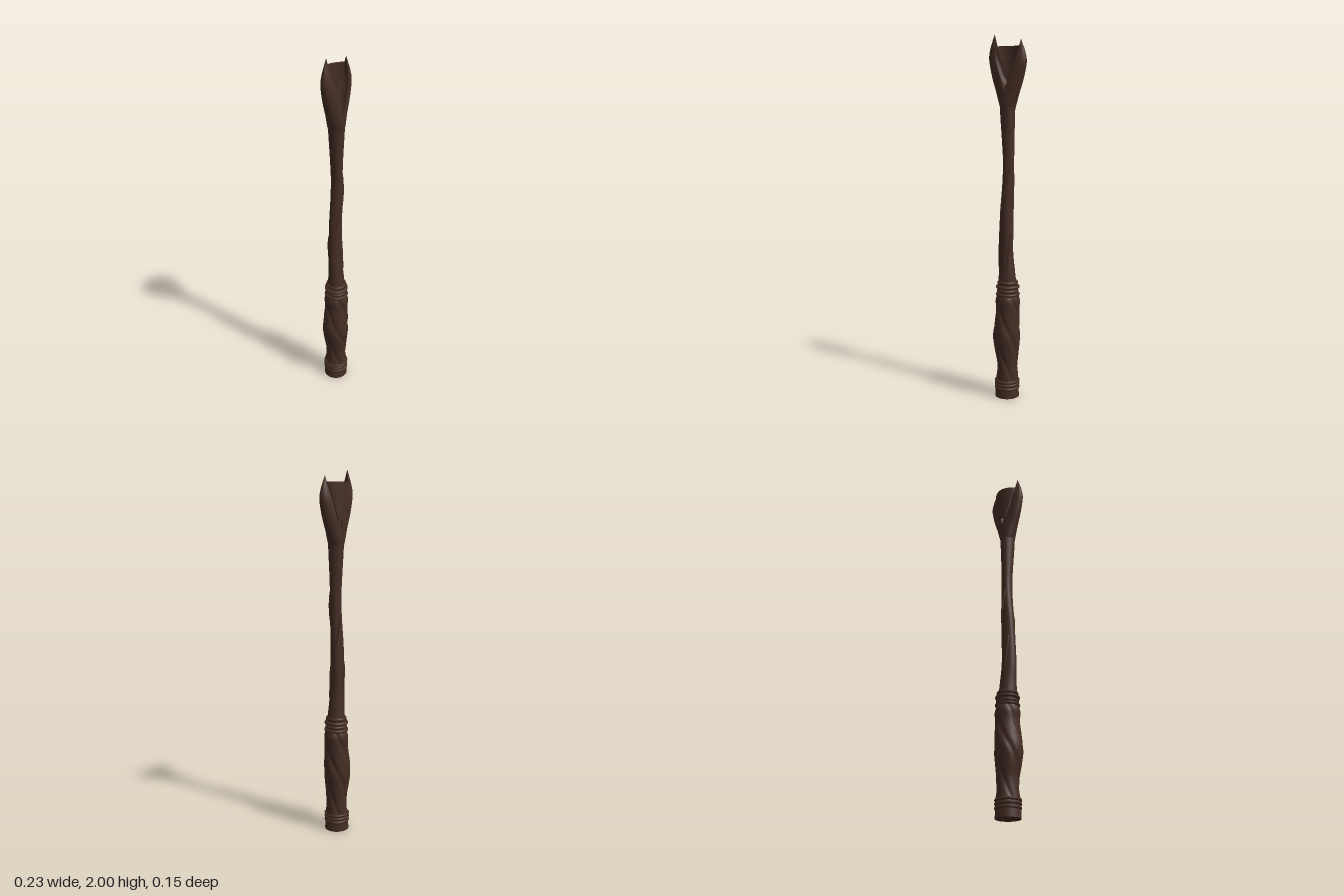
import * as THREE from 'three';

const SIDES = 40;

// Smooth lookup through a short table of rows: [y, a, b, ...]
function profile(table) {
  const width = table[0].length - 1;
  const curve = new THREE.CubicInterpolant(
    table.map((r) => r[0]), table.flatMap((r) => r.slice(1)), width, new Float32Array(width));
  return (y) => Array.from(curve.evaluate(y));
}

// Skin closed cross-sections (counterclockwise from above), with flat caps
function loft(sections) {
  const n = sections[0].length;
  const flat = (row) => {
    const c = new THREE.Vector3();
    row.forEach((p) => c.addScaledVector(p, 1 / n));
    return row.map(() => c);
  };
  const position = [], index = [];
  const skin = (rows) => {
    const start = position.length / 3;
    rows.forEach((row) => row.forEach((p) => position.push(p.x, p.y, p.z)));
    for (let i = 0; i < rows.length - 1; i++) {
      for (let j = 0; j < n; j++) {
        const k = (j + 1) % n, a = start + i * n, b = a + n;
        index.push(a + j, a + k, b + j, a + k, b + k, b + j);
      }
    }
  };
  const first = sections[0], last = sections[sections.length - 1];
  skin(sections);
  skin([flat(first), first]);
  skin([last, flat(last)]);
  const geometry = new THREE.BufferGeometry();
  geometry.setAttribute('position', new THREE.Float32BufferAttribute(position, 3));
  geometry.setIndex(index);
  geometry.computeVertexNormals();
  return geometry;
}

function levels(y0, y1, steps) {
  return Array.from({ length: steps + 1 }, (_, i) => y0 + ((y1 - y0) * i) / steps);
}

export function createModel() {
  const wood = new THREE.MeshStandardMaterial({ color: 0x452e24 });
  wood.name = 'dark wood';
  const model = new THREE.Group();
  model.name = 'carved staff';
  const add = (name, geometry, parent = model) => {
    const mesh = new THREE.Mesh(geometry, wood);
    mesh.name = name;
    parent.add(mesh);
    return mesh;
  };

  // Round turned section: centre x, x radius, z radius, scaled by an optional carving rule
  const turned = (at, ys, carve = () => 1) => loft(ys.map((y) => {
    const [cx, rx, rz] = at(y);
    return Array.from({ length: SIDES }, (_, j) => {
      const a = (j / SIDES) * Math.PI * 2, s = carve(a, y);
      return new THREE.Vector3(cx + rx * s * Math.sin(a), y, rz * s * Math.cos(a));
    });
  }));

  // Grip with spiral grooves
  const grip = profile([
    [0.08, -0.004, 0.064, 0.064], [0.14, -0.002, 0.058, 0.06], [0.2, -0.002, 0.057, 0.06],
    [0.27, -0.006, 0.067, 0.067], [0.35, -0.008, 0.076, 0.074], [0.43, -0.004, 0.069, 0.07],
    [0.5, 0, 0.064, 0.065], [0.56, 0, 0.066, 0.067], [0.595, 0, 0.055, 0.056],
  ]);
  add('grip', turned(grip, levels(0.08, 0.595, 60), (a, y) => {
    const groove = Math.pow(Math.abs(Math.cos((a + 7 * y) * 2 - 0.3)), 14);
    return 1.01 - 0.1 * groove;
  }));

  // Pommel and collar, each a core with stacked rings
  const ringed = (name, cx, core, rings) => {
    const group = new THREE.Group();
    group.name = name;
    group.position.x = cx;
    model.add(group);
    const [y0, y1, r0, r1] = core;
    add(name + 'Core', new THREE.CylinderGeometry(r1, r0, y1 - y0, 32), group).position.y = (y0 + y1) / 2;
    rings.forEach(([y, r, t]) => {
      const ring = add(name + 'Ring', new THREE.TorusGeometry(r - t, t, 10, 36), group);
      ring.rotation.x = Math.PI / 2;
      ring.position.y = y;
    });
  };
  ringed('pommel', -0.004, [0, 0.1, 0.067, 0.062], [[0.052, 0.07, 0.01], [0.073, 0.07, 0.009], [0.092, 0.07, 0.008]]);
  ringed('collar', 0, [0.575, 0.67, 0.055, 0.049],
    [[0.59, 0.067, 0.009], [0.61, 0.061, 0.01], [0.632, 0.066, 0.01], [0.656, 0.058, 0.01]]);

  // Slightly bent shaft
  const shaft = profile([
    [0.65, 0, 0.05, 0.048], [0.72, -0.004, 0.046, 0.042], [0.82, -0.011, 0.042, 0.037],
    [0.95, -0.009, 0.04, 0.035], [1.08, -0.005, 0.037, 0.034], [1.2, 0.002, 0.033, 0.032],
    [1.32, 0.005, 0.03, 0.031], [1.45, 0.003, 0.034, 0.035], [1.56, 0.001, 0.039, 0.041],
    [1.63, 0, 0.041, 0.045],
  ]);
  add('shaft', turned(shaft, levels(0.65, 1.63, 50),
    (a, y) => 1 + 0.03 * Math.sin(3 * a + 7 * y)));

  // Thin twigs winding up the shaft: [bottom, top, start angle, end angle, thickness]
  [
    [1.03, 1.4, -0.9, 1.5, 0.007], [0.74, 0.98, 0.6, 1.3, 0.007],
    [1.05, 1.28, 2.2, 3.6, 0.007], [0.76, 1.0, 3.0, 3.9, 0.006],
  ].forEach(([y0, y1, a0, a1, thick]) => {
    const path = levels(0, 1, 8).map((t) => {
      const y = y0 + (y1 - y0) * t, a = a0 + (a1 - a0) * t;
      const [cx, rx, rz] = shaft(y);
      const s = 1 - 0.25 * Math.pow(Math.abs(2 * t - 1), 4);
      return new THREE.Vector3(cx + rx * s * Math.sin(a), y, rz * s * Math.cos(a));
    });
    add('twig', new THREE.TubeGeometry(new THREE.CatmullRomCurve3(path), 32, thick, 8));
  });

  // Two hollow, pointed prongs: outer x, edge x, half depth, hollowness
  const prong = profile([
    [1.59, 0.034, 0, 0.038, 0], [1.62, 0.043, 0, 0.045, 0], [1.7, 0.068, 0, 0.046, 0.1],
    [1.75, 0.085, 0.014, 0.044, 0.4], [1.82, 0.104, 0.04, 0.038, 0.5], [1.88, 0.113, 0.062, 0.03, 0.5],
    [1.93, 0.105, 0.071, 0.019, 0.4], [1.97, 0.092, 0.076, 0.008, 0.2], [2, 0.081, 0.08, 0.001, 0],
  ]);
  [['leftProng', 1, 1.97], ['rightProng', -1, 2]].forEach(([name, side, tip]) => {
    const half = 14;
    add(name, loft(levels(1.59, 2, 40).map((y) => {
      const [outer, edge, depth, hollow] = prong(y);
      const height = 1.59 + ((y - 1.59) * (tip - 1.59)) / 0.41;
      const row = [];
      for (let j = 0; j < half * 2; j++) {
        const a = (j / half) * Math.PI;
        const bulge = j <= half ? Math.sin(a) : -hollow * Math.sin(a);
        const x = Math.max(edge, 0) + (outer - Math.max(edge, 0)) * bulge;
        row.push(new THREE.Vector3(side * x, height, depth * Math.cos(a)));
      }
      return side > 0 ? row : row.reverse();
    })));
  });

  // Curved back plate, widening towards the top
  const plateSteps = 14;
  add('backPlate', loft(levels(1.74, 1.94, 10).map((y) => {
    const w = 0.025 + 0.055 * Math.pow((y - 1.74) / 0.2, 0.8);
    const side = (z) => levels(-1, 1, plateSteps).map((u) =>
      new THREE.Vector3(w * u, y, z + 0.04 * Math.pow((w * u) / 0.08, 2)));
    return [...side(-0.046), ...side(-0.055).reverse()];
  })));

  return model;
}
